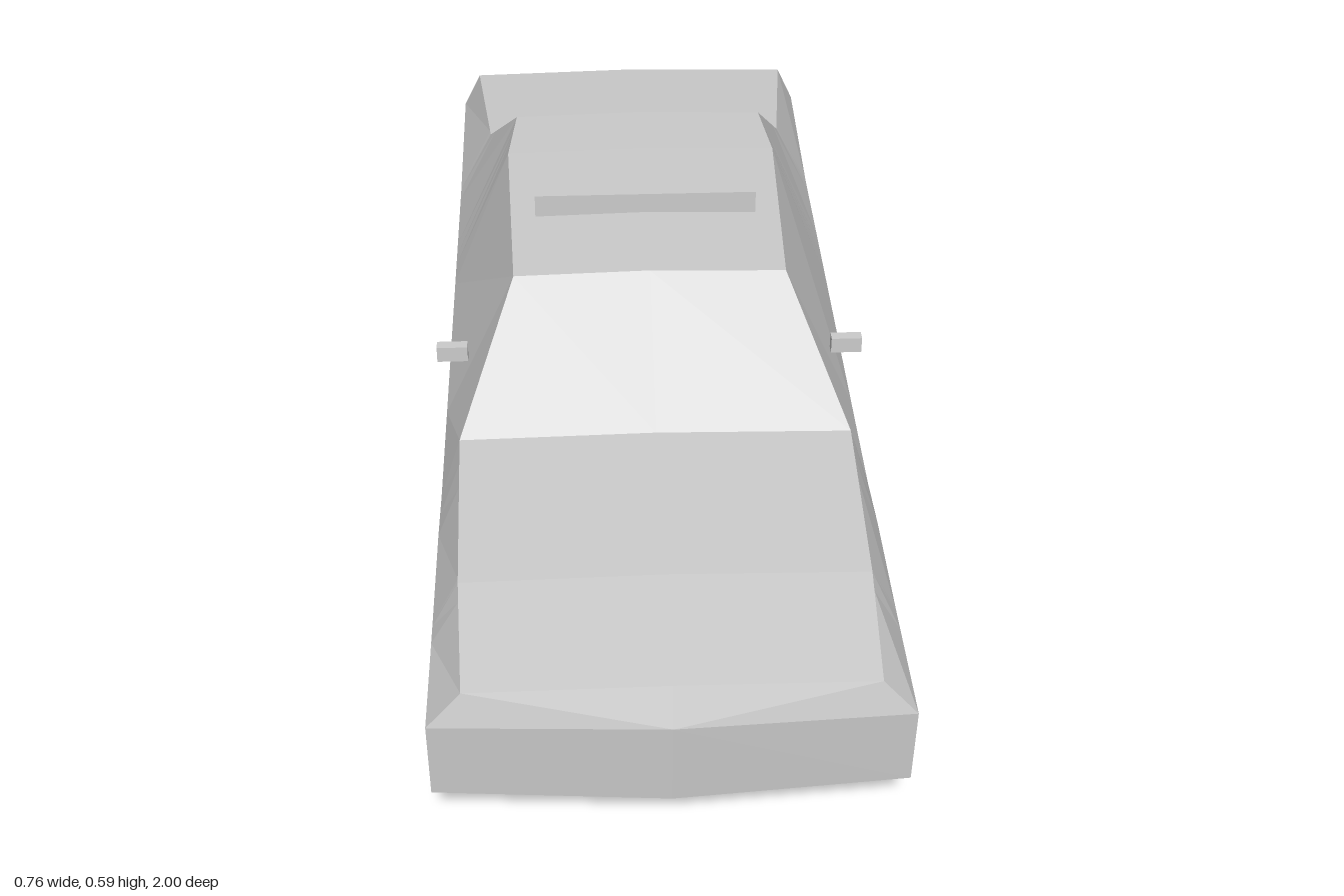
import * as THREE from 'three';

const material = new THREE.MeshStandardMaterial({ color: 0xcccccc, flatShading: true });

// Side-on lines of the body, back to front
const topLine = [ // z, y, half width
  [-0.945, 0.367, 0.335], [-0.64, 0.385, 0.303], [-0.42, 0.545, 0.24], [-0.27, 0.547, 0.255],
  [0.16, 0.545, 0.24], [0.4, 0.37, 0.335], [0.75, 0.357, 0.327], [0.97, 0.333, 0.317],
];
const shoulderLine = [ // z, y
  [-0.98, 0.28], [-0.64, 0.252], [0.4, 0.252], [0.52, 0.263], [0.74, 0.266], [0.98, 0.275],
];
const bottomLine = [ // z, y, stepping up over the wheels
  [-0.97, 0.122], [-0.656, 0.112], [-0.597, 0.25], [-0.375, 0.25], [-0.337, 0.11],
  [0.463, 0.11], [0.522, 0.26], [0.742, 0.26], [0.79, 0.122], [0.97, 0.126],
];
const HALF_WIDTH = 0.372;

// Linear reading of column c of a line at z
function read(line, z, c = 1) {
  if (z <= line[0][0]) return line[0][c];
  for (let i = 1; i < line.length; i++) {
    const a = line[i - 1], b = line[i];
    if (z <= b[0]) return a[c] + (b[c] - a[c]) * (z - a[0]) / (b[0] - a[0]);
  }
  return line[line.length - 1][c];
}

// Eight-point cross-section; end is -1 at the tail, 1 at the nose, 0 between
function section(z, end) {
  const bottom = read(bottomLine, z), shoulder = read(shoulderLine, z);
  const top = read(topLine, z), w = read(topLine, z, 2);
  const zb = end ? end * 0.972 : z, zs = end ? end * 0.982 : z;
  const bow = end * 0.016;
  const crown = 0.006, dip = bottom < 0.2 ? 0.013 : 0;
  return [
    [0, bottom - dip, zb + bow], [HALF_WIDTH, bottom, zb], [HALF_WIDTH, shoulder, zs], [w, top, z],
    [0, top + crown, z + bow * 0.2], [-w, top, z], [-HALF_WIDTH, shoulder, zs], [-HALF_WIDTH, bottom, zb],
  ];
}

function bodyGeometry() {
  const inner = [...topLine.slice(1, -1), ...bottomLine.slice(1, -1)].map((p) => p[0]);
  inner.sort((a, b) => a - b);
  const rings = [section(-0.945, -1), ...inner.map((z) => section(z, 0)), section(0.97, 1)];
  const positions = [];
  const quad = (a, b, c, d) => positions.push(...a, ...b, ...c, ...a, ...c, ...d);

  // Skin between neighbouring sections
  for (let i = 0; i < rings.length - 1; i++) {
    const back = rings[i], front = rings[i + 1];
    for (let k = 0; k < 8; k++) {
      const n = (k + 1) % 8;
      quad(front[k], back[k], back[n], front[n]);
    }
  }
  // Bowed nose and tail panels
  for (const end of [-1, 1]) {
    const r = end > 0 ? rings[rings.length - 1] : rings[0];
    const centre = [0, r[2][1], end];
    for (let k = 0; k < 8; k += 2) {
      const a = r[k], b = r[k + 1], c = r[(k + 2) % 8];
      if (end > 0) quad(centre, a, b, c);
      else quad(centre, c, b, a);
    }
  }
  const geometry = new THREE.BufferGeometry();
  geometry.setAttribute('position', new THREE.Float32BufferAttribute(positions, 3));
  geometry.computeVertexNormals();
  return geometry;
}

export function createModel() {
  const car = new THREE.Group();
  car.name = 'car';
  const add = (name, geometry, x, y, z) => {
    const mesh = new THREE.Mesh(geometry, material);
    mesh.name = name;
    mesh.position.set(x, y, z);
    car.add(mesh);
    return mesh;
  };

  add('body', bodyGeometry(), 0, 0, 0);
  add('roofLightBar', new THREE.BoxGeometry(0.404, 0.05, 0.088), 0, 0.565, -0.08);

  // Octagonal wheels standing on a flat side
  const wheel = new THREE.CylinderGeometry(0.1407, 0.1407, 0.088, 8);
  wheel.rotateY(Math.PI / 8).rotateZ(Math.PI / 2);
  const mirror = new THREE.BoxGeometry(0.055, 0.03, 0.02);
  for (const [side, s] of [['left', 1], ['right', -1]]) {
    add(side + 'FrontWheel', wheel, s * 0.311, 0.13, 0.627);
    add(side + 'RearWheel', wheel, s * 0.311, 0.13, -0.493);
    add(side + 'Mirror', mirror, s * 0.355, 0.385, 0.157);
  }
  return car;
}
